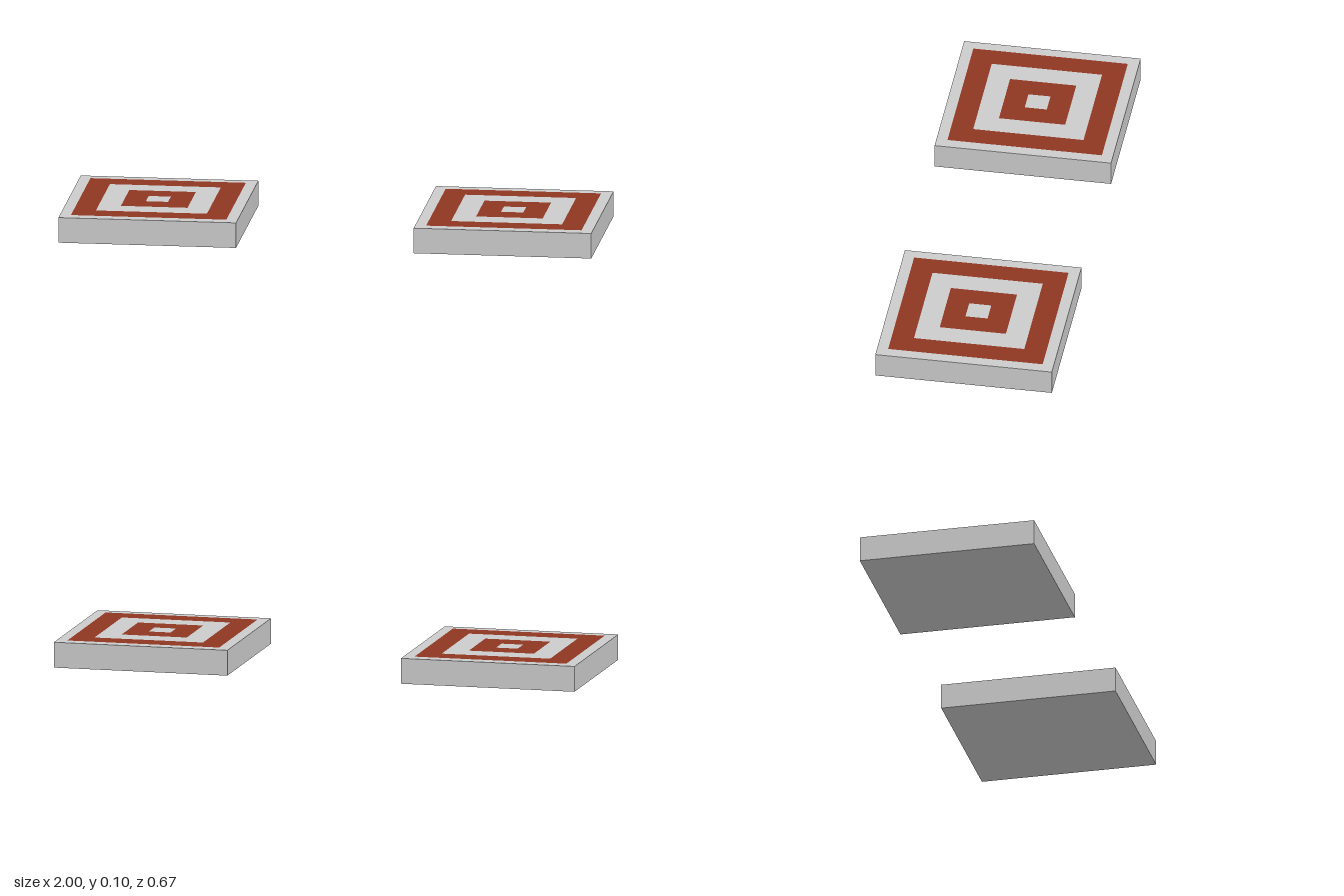
import * as THREE from 'three';

const TILE = 2 / 3;      // tile side
const HEIGHT = 0.096;    // tile thickness
const STEP = TILE / 16;  // grid unit of the inlay pattern

// Square outline of the given half-size, centred on the origin
function trace(path, h) {
  path.moveTo(-h, -h);
  path.lineTo(h, -h);
  path.lineTo(h, h);
  path.lineTo(-h, h);
  path.closePath();
  return path;
}

// Flat square ring facing up
function ringGeometry(outer, inner) {
  const shape = trace(new THREE.Shape(), outer);
  shape.holes.push(trace(new THREE.Path(), inner));
  return new THREE.ShapeGeometry(shape).rotateX(-Math.PI / 2);
}

export function createModel() {
  const model = new THREE.Group();
  model.name = 'patternedTiles';

  const grey = new THREE.MeshStandardMaterial({ color: 0xcccccc });
  const rust = new THREE.MeshStandardMaterial({ color: 0x8e3622 });

  const slabGeometry = new THREE.BoxGeometry(TILE, HEIGHT, TILE).translate(0, HEIGHT / 2, 0);
  const rings = [
    ['outerRing', ringGeometry(7 * STEP, 5 * STEP)],
    ['innerRing', ringGeometry(3 * STEP, STEP)],
  ];

  // Two identical tiles, one on each side
  for (const side of [-1, 1]) {
    const tile = new THREE.Group();
    tile.name = side > 0 ? 'leftTile' : 'rightTile';
    tile.position.x = side * TILE;

    const slab = new THREE.Mesh(slabGeometry, grey);
    slab.name = 'slab';
    tile.add(slab);

    // Concentric square bands lying just above the slab
    for (const [name, geometry] of rings) {
      const ring = new THREE.Mesh(geometry, rust);
      ring.name = name;
      ring.position.y = HEIGHT + 0.001;
      tile.add(ring);
    }
    model.add(tile);
  }
  return model;
}
